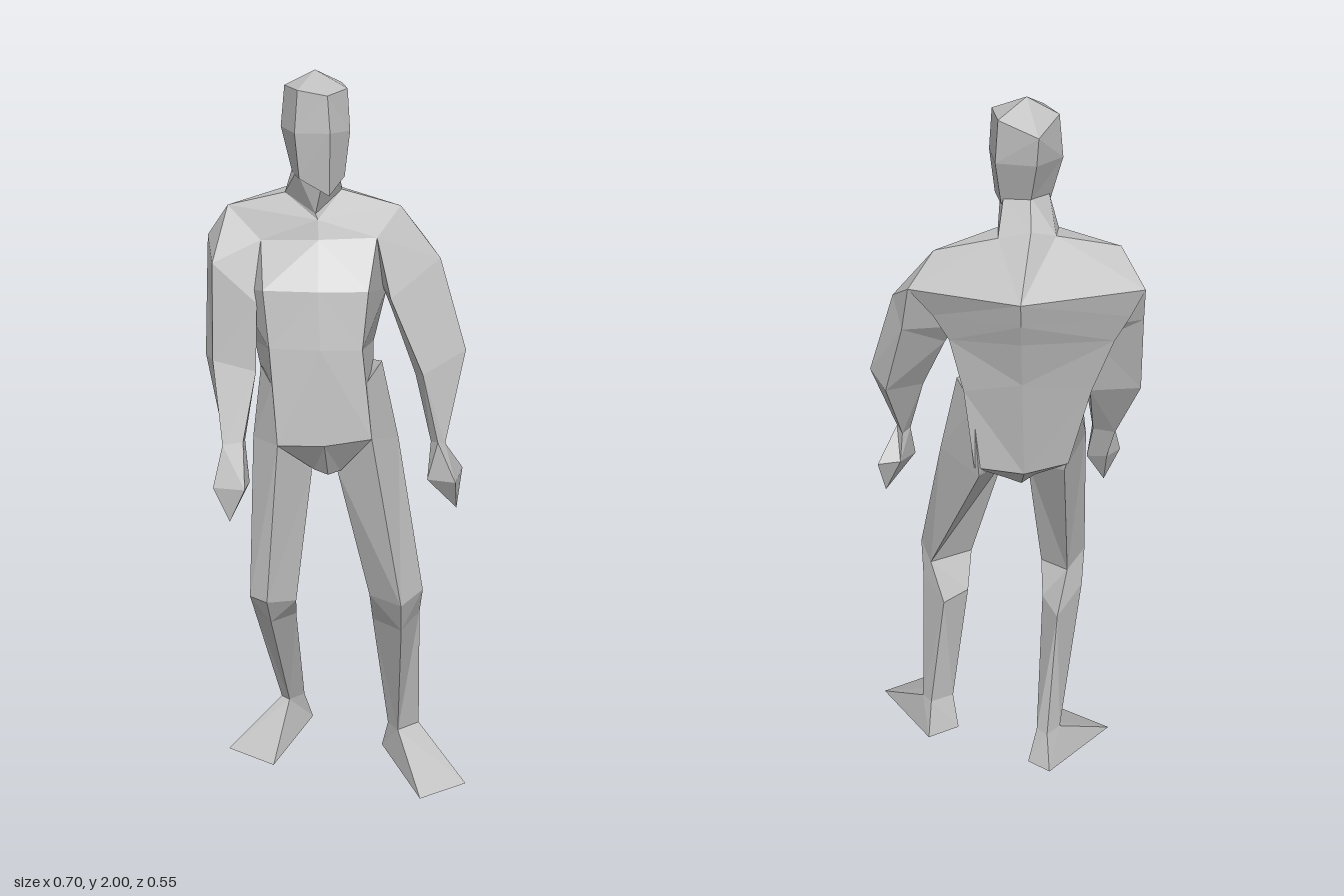
import * as THREE from 'three';

const skin = new THREE.MeshStandardMaterial({ color: 0xbebebe, flatShading: true });
skin.name = 'plain grey';

const v = p => new THREE.Vector3(...p);
const gap = (p, q) => v(p).distanceTo(v(q));

// Skin a stack of cross-sections (a one-point section makes a tip), closing both ends.
function loft(name, rings) {
  const n = Math.max(...rings.map(r => r.length));
  const tris = [];
  const at = (r, i) => r[i % r.length];
  for (let k = 0; k < rings.length - 1; k++) {
    for (let i = 0; i < n; i++) {
      const a = at(rings[k], i), b = at(rings[k], i + 1);
      const c = at(rings[k + 1], i + 1), d = at(rings[k + 1], i);
      // Split each quad along its shorter diagonal
      if (a === b) tris.push([a, c, d]);
      else if (c === d) tris.push([a, b, d]);
      else if (gap(a, c) < gap(b, d)) tris.push([a, b, c], [a, c, d]);
      else tris.push([a, b, d], [b, c, d]);
    }
  }
  const cap = (r, flip) => {
    if (r.length < 3) return;
    const mid = [0, 1, 2].map(j => r.reduce((s, p) => s + p[j], 0) / r.length);
    r.forEach((p, i) => {
      const q = r[(i + 1) % r.length];
      tris.push(flip ? [mid, q, p] : [mid, p, q]);
    });
  };
  cap(rings[0], true);
  cap(rings[rings.length - 1], false);

  // Turn every face outwards, using the sign of the enclosed volume
  const volume = tris.reduce((s, [a, b, c]) => s + v(a).dot(v(b).cross(v(c))), 0);
  if (volume < 0) tris.forEach(t => t.reverse());

  const geo = new THREE.BufferGeometry();
  geo.setAttribute('position', new THREE.Float32BufferAttribute(tris.flat(2), 3));
  geo.computeVertexNormals();
  const mesh = new THREE.Mesh(geo, skin);
  mesh.name = name;
  return mesh;
}

// Six-point sections: front left, front, front right, back right, back, back left
const neckBase = [[0.03, 1.685, -0.11], [-0.05, 1.635, -0.055], [-0.12, 1.68, -0.125],
  [-0.1, 1.683, -0.188], [-0.035, 1.70, -0.198], [0.04, 1.678, -0.165]];
const shoulders = [[0.19, 1.635, -0.108], [-0.045, 1.62, -0.05], [-0.267, 1.64, -0.177],
  [-0.317, 1.545, -0.24], [0.005, 1.545, -0.277], [0.26, 1.545, -0.128]];
const upperChest = [[0.11, 1.57, -0.03], [-0.045, 1.57, -0.035], [-0.19, 1.56, -0.1],
  [-0.285, 1.47, -0.228], [0, 1.48, -0.26], [0.2, 1.47, -0.13]];
const chest = [[0.07, 1.45, 0.06], [-0.06, 1.45, 0.04], [-0.2, 1.45, 0],
  [-0.25, 1.4, -0.215], [-0.005, 1.42, -0.238], [0.16, 1.4, -0.133]];
const ribs = [[0.05, 1.3, 0.085], [-0.06, 1.3, 0.07], [-0.19, 1.3, 0.03],
  [-0.2, 1.25, -0.193], [-0.015, 1.29, -0.205], [0.125, 1.25, -0.135]];
const waist = [[0.07, 1.06, 0.122], [-0.055, 1.04, 0.1], [-0.178, 1.04, 0.075],
  [-0.15, 1.02, -0.165], [-0.03, 1.0, -0.165], [0.1, 1.02, -0.14]];
const crotch = [[0, 0.94, 0.04], [-0.035, 0.93, 0.04], [-0.07, 0.94, 0.02],
  [-0.08, 0.93, -0.06], [-0.04, 0.92, -0.08], [0, 0.93, -0.06]];

const neckTop = [[0.015, 1.75, -0.06], [-0.035, 1.73, -0.025], [-0.1, 1.75, -0.05],
  [-0.1, 1.76, -0.1], [-0.045, 1.77, -0.14], [0.015, 1.76, -0.105]];
const jaw = [[0.02, 1.74, -0.015], [-0.028, 1.70, 0.03], [-0.1, 1.74, -0.005],
  [-0.105, 1.74, -0.09], [-0.045, 1.76, -0.145], [0.02, 1.74, -0.1]];
const cheeks = [[0.035, 1.855, -0.02], [-0.027, 1.86, 0.038], [-0.11, 1.855, -0.01],
  [-0.13, 1.855, -0.115], [-0.05, 1.86, -0.185], [0.04, 1.855, -0.13]];
const brow = [[0.03, 1.96, -0.03], [-0.03, 1.95, 0.018], [-0.1, 1.96, -0.02],
  [-0.12, 1.96, -0.11], [-0.053, 1.93, -0.192], [0.033, 1.96, -0.13]];
const crown = [[-0.044, 2.0, -0.088]];

// Four-point limb sections: outer, front, inner, back
const limbs = {
  left: {
    arm: [
      [[0.19, 1.635, -0.108], [0.11, 1.57, -0.03], [0.14, 1.42, -0.1], [0.26, 1.545, -0.128]],
      [[0.29, 1.5, -0.055], [0.135, 1.42, 0.035], [0.16, 1.36, -0.06], [0.275, 1.42, -0.095]],
      [[0.35, 1.26, 0.015], [0.215, 1.22, 0.085], [0.21, 1.2, 0.02], [0.315, 1.21, -0.02]],
      [[0.275, 1.03, 0.11], [0.25, 1.04, 0.128], [0.24, 1.03, 0.09], [0.265, 1.02, 0.075]],
    ],
    hand: [
      [[0.338, 0.935, 0.065], [0.295, 0.93, 0.155], [0.225, 0.93, 0.12], [0.275, 0.94, 0.06]],
      [[0.315, 0.83, 0.1]],
    ],
    thigh: [
      [[0.125, 1.23, -0.02], [0.055, 1.2, 0.09], [0, 1.1, 0], [0.1, 1.2, -0.135]],
      [[0.17, 1.01, 0], [0.07, 1.06, 0.122], [-0.005, 0.93, 0.02], [0.09, 1.0, -0.155]],
      [[0.213, 0.61, 0.15], [0.13, 0.615, 0.245], [0.07, 0.585, 0.11], [0.195, 0.575, 0.085]],
    ],
    shin: [
      [[0.215, 0.52, 0.11], [0.14, 0.52, 0.21], [0.09, 0.48, 0.06], [0.17, 0.48, 0.008]],
      [[0.235, 0.11, 0.05], [0.165, 0.11, 0.08], [0.145, 0.11, 0.035], [0.215, 0.11, 0.015]],
    ],
    sole: [[0.337, 0, 0.223], [0.19, 0, 0.272], [0.135, 0.01, 0], [0.23, 0, -0.02]],
  },
  right: {
    arm: [
      [[-0.267, 1.64, -0.177], [-0.19, 1.56, -0.1], [-0.215, 1.42, -0.17], [-0.317, 1.545, -0.24]],
      [[-0.32, 1.5, -0.11], [-0.21, 1.4, -0.05], [-0.22, 1.36, -0.13], [-0.325, 1.45, -0.21]],
      [[-0.33, 1.24, -0.075], [-0.22, 1.22, -0.02], [-0.22, 1.2, -0.1], [-0.34, 1.23, -0.165]],
      [[-0.32, 1.03, 0.02], [-0.265, 1.04, 0.03], [-0.255, 1.03, -0.01], [-0.31, 1.03, -0.04]],
    ],
    hand: [
      [[-0.352, 0.92, 0.05], [-0.27, 0.92, 0.082], [-0.25, 0.92, 0.03], [-0.3, 0.93, 0]],
      [[-0.31, 0.82, 0.06]],
    ],
    thigh: [
      [[-0.2, 1.22, -0.07], [-0.185, 1.2, 0.04], [-0.1, 1.1, 0], [-0.18, 1.18, -0.17]],
      [[-0.23, 1.03, -0.03], [-0.178, 1.04, 0.075], [-0.075, 0.93, 0.01], [-0.14, 1.0, -0.165]],
      [[-0.26, 0.585, 0.06], [-0.22, 0.59, 0.115], [-0.13, 0.56, 0.06], [-0.19, 0.57, -0.02]],
    ],
    shin: [
      [[-0.24, 0.5, 0], [-0.203, 0.5, 0.065], [-0.12, 0.48, -0.01], [-0.14, 0.48, -0.12]],
      [[-0.145, 0.11, -0.165], [-0.125, 0.11, -0.14], [-0.075, 0.11, -0.165], [-0.1, 0.11, -0.195]],
    ],
    sole: [[-0.32, 0, -0.075], [-0.2, 0, 0.035], [-0.045, 0.01, -0.19], [-0.1, 0, -0.235]],
  },
};

export function createModel() {
  const figure = new THREE.Group();
  figure.name = 'standing figure';

  // Trunk and head
  figure.add(
    loft('torso', [neckBase, shoulders, upperChest, chest, ribs, waist, crotch]),
    loft('neck', [neckTop, neckBase]),
    loft('head', [crown, brow, cheeks, jaw]),
  );

  // Each limb part starts on the last section of the one above it
  for (const [side, limb] of Object.entries(limbs)) {
    const last = list => list[list.length - 1];
    figure.add(
      loft(side + 'Arm', limb.arm),
      loft(side + 'Hand', [last(limb.arm), ...limb.hand]),
      loft(side + 'Thigh', limb.thigh),
      loft(side + 'Shin', [last(limb.thigh), ...limb.shin]),
      loft(side + 'Foot', [last(limb.shin), limb.sole]),
    );
  }
  return figure;
}
